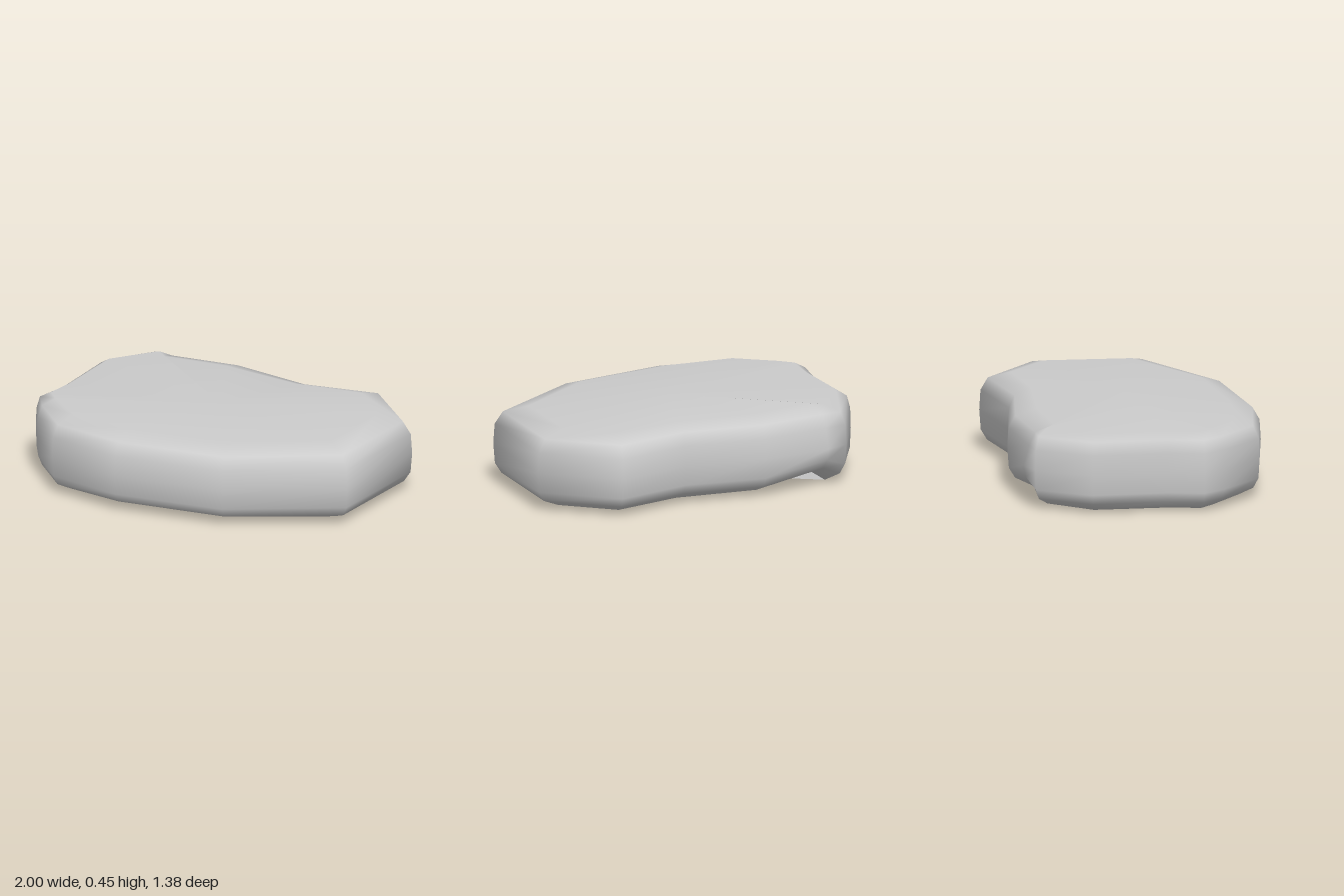
import * as THREE from 'three';

// Widest outline seen from above: x, z, inset of the top face, inset of the underside
const OUTLINE = [
  [-0.72, -0.655, 0.12, 0.12], [-0.59, -0.69, 0.15, 0.19], [-0.2, -0.69, 0.16, 0.14],
  [0.24, -0.585, 0.13, 0.12], [0.67, -0.645, 0.17, 0.14], [1.0, -0.3, 0.19, 0.15],
  [0.91, 0.33, 0.19, 0.15], [0.31, 0.64, 0.16, 0.15], [-0.31, 0.688, 0.17, 0.16],
  [-0.73, 0.585, 0.14, 0.12], [-0.93, 0.35, 0.10, 0.09], [-1.0, 0.22, 0.09, 0.08],
  [-0.94, 0.03, 0.07, 0.07], [-0.91, -0.38, 0.08, 0.08],
];

// Rings from bottom to top: height, share of underside inset, share of top inset
const RINGS = [
  [0.012, 1, 0], [0.055, 0.3, 0], [0.11, 0.06, 0], [0.22, 0, 0],
  [0.33, 0, 0.04], [0.4, 0, 0.27], [0.436, 0, 1],
];

// Inward direction at an outline corner
function inward(i) {
  const n = OUTLINE.length;
  const [ax, az] = OUTLINE[(i + n - 1) % n];
  const [bx, bz] = OUTLINE[(i + 1) % n];
  return new THREE.Vector2(az - bz, bx - ax).normalize();
}

function stoneGeometry() {
  const n = OUTLINE.length;
  const positions = [];
  const index = [];
  for (const [y, low, high] of RINGS) {
    OUTLINE.forEach(([x, z, top, bottom], i) => {
      const d = inward(i);
      const inset = low * bottom + high * top;
      // the back left corner is chipped underneath
      const chip = i === 1 && low > 0 ? 0.045 : 0;
      // the upper rim of that corner is cut back to a straight edge
      const cut = i === 1 && high > 0 ? 0.025 : 0;
      positions.push(x + d.x * inset, y + chip, z + d.y * (inset + cut));
    });
  }
  // Side bands
  for (let r = 0; r < RINGS.length - 1; r++) {
    for (let i = 0; i < n; i++) {
      const a = r * n + i, b = r * n + (i + 1) % n;
      index.push(a, a + n, b, b, a + n, b + n);
    }
  }
  // Slightly domed top face and underside
  const last = (RINGS.length - 1) * n;
  const low = positions.length / 3;
  positions.push(0, 0, 0, 0, 0.446, 0);
  for (let i = 0; i < n; i++) {
    const j = (i + 1) % n;
    index.push(low, i, j, low + 1, last + j, last + i);
  }
  const geometry = new THREE.BufferGeometry();
  geometry.setAttribute('position', new THREE.Float32BufferAttribute(positions, 3));
  geometry.setIndex(index);
  geometry.computeVertexNormals();
  return geometry;
}

export function createModel() {
  const group = new THREE.Group();
  group.name = 'flatStone';
  const stone = new THREE.Mesh(
    stoneGeometry(),
    new THREE.MeshStandardMaterial({ color: 0xcccccc }),
  );
  stone.name = 'stone';
  group.add(stone);
  return group;
}
